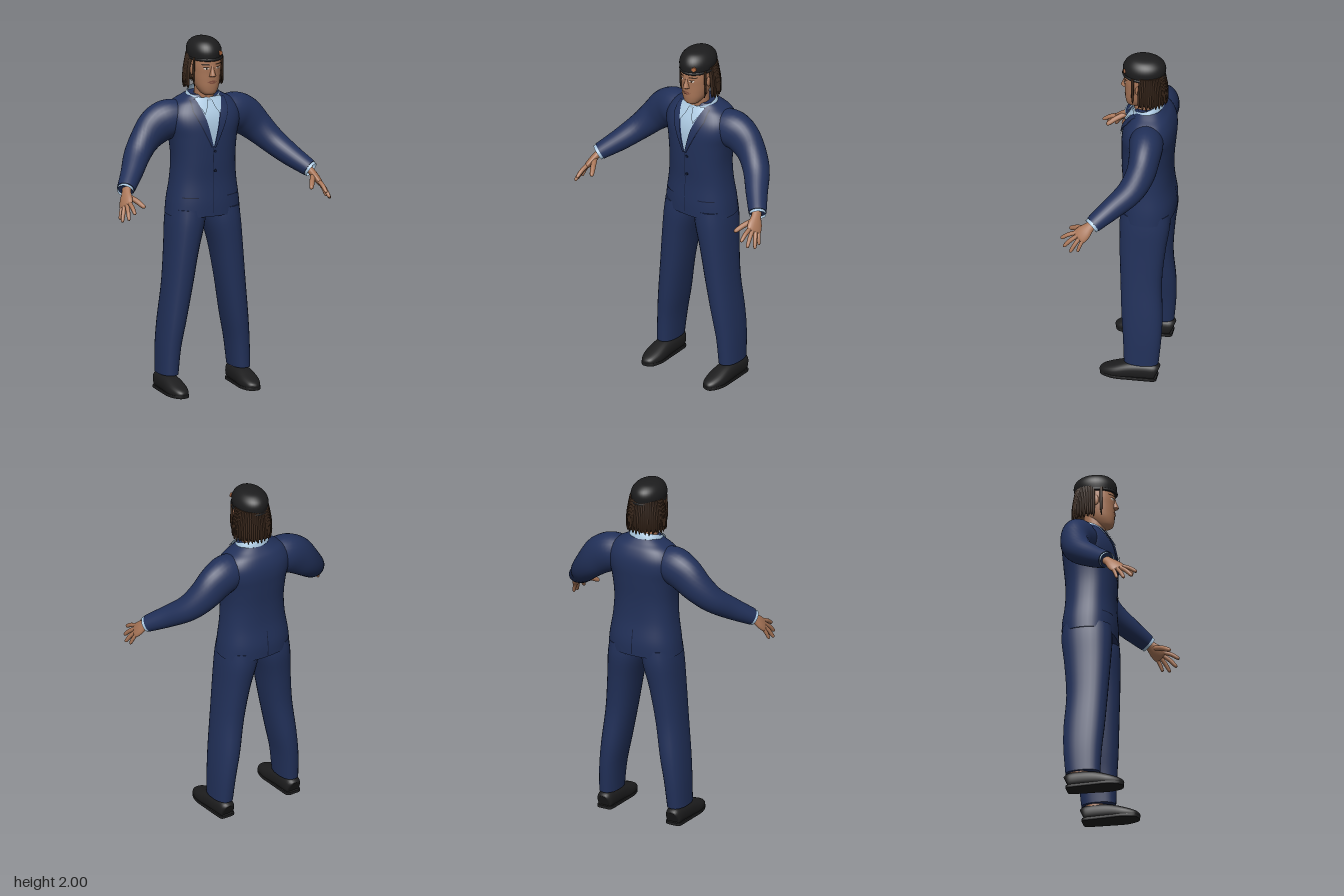
import * as THREE from 'three';

const V = (x, y, z) => new THREE.Vector3(x, y, z);
const mat = (name, color, side = THREE.FrontSide) => new THREE.MeshStandardMaterial({ name, color, side });

// Smoothly densify rows of numbers
function smooth(rows, n = 5) {
  const out = [], L = rows.length - 1;
  for (let i = 0; i < L; i++) for (let k = 0; k < n; k++) {
    const t = k / n, p0 = rows[Math.max(i - 1, 0)], p1 = rows[i], p2 = rows[i + 1], p3 = rows[Math.min(i + 2, L)];
    out.push(p1.map((v, j) => v + 0.5 * t * (p2[j] - p0[j] + t * (2 * p0[j] - 5 * v + 4 * p2[j] - p3[j] + t * (3 * (v - p2[j]) + p3[j] - p0[j])))));
  }
  out.push(rows[L].slice());
  return out;
}

// Skin a tube through rows [x, y, z, a, b]. With flat, rings lie level: a is the z radius, b the x radius.
function loft(rows, { seg = 28, n = 4, power = 2, flat = false, u: ref, caps = true, clamp } = {}) {
  const R = smooth(rows, n), pos = [], idx = [], c = R.map(r => V(r[0], r[1], r[2]));
  const sp = v => Math.sign(v) * Math.abs(v) ** (2 / power);
  R.forEach((r, i) => {
    const T = flat ? V(0, 1, 0) : c[Math.min(i + 1, c.length - 1)].clone().sub(c[Math.max(i - 1, 0)]).normalize();
    let u = ref ? ref.clone() : flat ? V(0, 0, 1) : V(0, 1, 0).cross(T);
    if (!flat) u.addScaledVector(T, -u.dot(T)).normalize();
    const v = flat ? V(1, 0, 0) : T.clone().cross(u);
    for (let j = 0; j < seg; j++) {
      const q = j / seg * Math.PI * 2;
      const p = c[i].clone().addScaledVector(u, r[3] * sp(Math.cos(q))).addScaledVector(v, r[4] * sp(Math.sin(q)));
      if (clamp) p.y = Math.min(Math.max(p.y, clamp[0]), clamp[1]);
      pos.push(p.x, p.y, p.z);
    }
  });
  for (let i = 0; i < R.length - 1; i++) for (let j = 0; j < seg; j++) {
    const a = i * seg + j, b = i * seg + (j + 1) % seg;
    idx.push(a, b, a + seg, b, b + seg, a + seg);
  }
  if (caps) for (const end of [0, R.length - 1]) {
    const s = pos.length / 3, ring = pos.slice(end * seg * 3, (end + 1) * seg * 3), m = [0, 0, 0];
    ring.forEach((v, k) => { m[k % 3] += v / seg; });
    pos.push(...ring, ...m);
    for (let j = 0; j < seg; j++) {
      const a = s + j, b = s + (j + 1) % seg;
      end ? idx.push(a, b, s + seg) : idx.push(b, a, s + seg);
    }
  }
  return finish(pos, idx);
}

function finish(pos, idx) {
  const g = new THREE.BufferGeometry();
  g.setAttribute('position', new THREE.Float32BufferAttribute(pos, 3));
  g.setIndex(idx);
  g.computeVertexNormals();
  return g;
}

// Thin panel hugging a level loft; edges are rows [y, x1, x2] from low to high
function patch(body, power, edges, off, back = false, cols = 8) {
  const P = smooth(body, 5), pos = [], idx = [], k = back ? -1 : 1, steps = 8;
  const depth = (x, y) => {
    let i = 0;
    while (i < P.length - 2 && P[i + 1][1] < y) i++;
    const t = (y - P[i][1]) / (P[i + 1][1] - P[i][1]), m = P[i].map((v, j) => v + (P[i + 1][j] - v) * t);
    return m[2] + k * (m[3] * Math.max(0, 1 - Math.abs(x / m[4]) ** power) ** (1 / power) + off);
  };
  const rows = [];
  for (let e = 0; e < edges.length - 1; e++) for (let s = e ? 1 : 0; s <= steps; s++)
    rows.push(edges[e].map((v, j) => v + (edges[e + 1][j] - v) * s / steps));
  rows.forEach(([y, a, b]) => {
    const lo = Math.min(a, b), hi = Math.max(a, b);
    for (let j = 0; j <= cols; j++) {
      const x = k * (k > 0 ? lo : hi) * k + (hi - lo) * k * j / cols;
      pos.push(x, y, depth(x, y));
    }
  });
  for (let i = 0; i < rows.length - 1; i++) for (let j = 0; j < cols; j++) {
    const a = i * (cols + 1) + j, b = a + cols + 1;
    idx.push(a, a + 1, b, a + 1, b + 1, b);
  }
  return finish(pos, idx);
}

export function createModel() {
  const root = new THREE.Group();
  const navy = mat('navy cloth', 0x22315a), seam = mat('dark navy seam', 0x141d38), shirt = mat('pale blue shirt', 0xa9c6de, THREE.DoubleSide);
  const skin = mat('skin', 0xa97658), hair = mat('brown hair', 0x38261a, THREE.DoubleSide), black = mat('black', 0x1d1d1e);
  const lips = mat('lips', 0x85503f), white = mat('eye white', 0xd8d0c8), copper = mat('copper badge', 0xb0683f);
  const add = (name, geo, m) => { const o = new THREE.Mesh(geo, m); o.name = name; root.add(o); return o; };
  // Level row from y, front z, back z, half width
  const row = (y, f, b, w, x = 0) => [x, y, (f + b) / 2, (f - b) / 2, w];

  // Jacket body
  const torso = [row(1, .035, -.265, .212), row(1.08, .036, -.266, .204), row(1.2, .03, -.25, .187), row(1.32, .034, -.248, .181),
    row(1.44, .035, -.258, .193), row(1.52, .03, -.264, .212), row(1.58, .012, -.258, .208), row(1.63, -.018, -.237, .175),
    row(1.66, -.04, -.21, .125), row(1.68, -.05, -.19, .09)];
  const TP = 2.4, panel = (name, e, off, m, back) => add(name, patch(torso, TP, e, off, back), m);
  add('jacketBody', loft(torso, { flat: true, power: TP, seg: 48, n: 5 }), navy);
  panel('shirtFront', [[1.4, -.002, .002], [1.55, -.038, .038], [1.665, -.075, .075]], .004, shirt);
  panel('jacketOpening', [[1.02, -.004, -.001], [1.4, -.002, .002]], .003, seam);
  panel('backVent', [[1.01, -.003, .003], [1.16, -.002, .002]], .003, seam, true);
  for (const y of [1.26, 1.37]) {
    const b = add('jacketButton', new THREE.CylinderGeometry(.008, .008, .006, 16), seam);
    b.rotation.x = Math.PI / 2;
    b.position.set(.012, y, .036);
  }

  // Neck and shirt collar
  add('neck', loft([row(1.6, -.04, -.15, .058), row(1.68, -.03, -.15, .056), row(1.76, -.03, -.15, .056)], { flat: true }), skin);
  add('shirtCollar', loft([[0, 1.645, -.108, .085, .108], [0, 1.67, -.105, .08, .1], [0, 1.69, -.102, .074, .09]],
    { flat: true, u: V(0, -.35, 1), caps: false }), shirt);

  for (const s of [1, -1]) {
    const m = rows => rows.map(([x, ...r]) => [x * s, ...r]);
    const e = rows => rows.map(([y, a, b]) => [y, a * s, b * s]);
    // Lapels, collar points and pockets
    panel('lapelEdge', e([[1.395, .0, .014], [1.55, .05, .087], [1.6, .06, .108], [1.655, .072, .107]]), .007, seam);
    panel('lapel', e([[1.4, .002, .01], [1.55, .038, .082], [1.6, .054, .103], [1.66, .072, .1]]), .011, navy);
    panel('collarPoint', e([[1.585, .042, .046], [1.62, .022, .062], [1.668, .008, .08]]), .017, shirt);
    panel('pocketSlit', e([[1.108, .085, .168], [1.114, .085, .168]]), .004, seam);

    // Sleeve, cuff and hand
    add('sleeve', loft(m([[.12, 1.55, -.125, .09, .09], [.2, 1.54, -.135, .095, .11], [.27, 1.505, -.14, .086, .108], [.34, 1.44, -.13, .079, .09],
      [.41, 1.365, -.085, .074, .074], [.48, 1.295, 0, .062, .062], [.545, 1.24, .075, .052, .05], [.558, 1.229, .09, .05, .047]])), navy);
    add('cuff', loft(m([[.545, 1.24, .075, .045, .043], [.567, 1.22, .1, .046, .044]]), { caps: false, n: 2 }), shirt);
    const across = V(.43 * s, -.36, -.86);
    add('palm', loft(m([[.545, 1.24, .075, .028, .022], [.563, 1.213, .108, .03, .02], [.578, 1.183, .137, .043, .02],
      [.59, 1.158, .162, .045, .016], [.594, 1.15, .17, .036, .01]]), { u: across, seg: 20 }), skin);
    const fingers = [['thumb', .56, 1.195, .135, .505, 1.15, .232, .015], ['indexFinger', .577, 1.168, .19, .582, 1.128, .268, .012],
      ['middleFinger', .59, 1.156, .178, .61, 1.092, .248, .012], ['ringFinger', .599, 1.148, .16, .632, 1.075, .206, .0115],
      ['littleFinger', .603, 1.145, .138, .628, 1.08, .165, .0105]];
    for (const [name, x, y, z, X, Y, Z, r] of fingers) {
      const at = (t, k, up = 0) => [x + (X - x) * t, y + (Y - y) * t + up, z + (Z - z) * t, r * k, r * k];
      add(name, loft(m([at(-.15, 1), at(.45, 1, .006), at(.85, .85, .001), at(.97, .55), at(1, .15)]), { seg: 12, n: 3 }), skin);
    }

    // Trouser leg, ankle and shoe
    add('trouserLeg', loft([row(.1, -.015, -.21, .054, .218 * s), row(.25, -.008, -.223, .06, .208 * s), row(.4, .004, -.226, .069, .188 * s),
      row(.6, .015, -.216, .077, .16 * s), row(.8, .025, -.232, .087, .134 * s), row(.95, .03, -.252, .101, .11 * s),
      row(1.04, .025, -.25, .1, .1 * s)], { flat: true, power: 2.3 }), navy);
    add('ankle', loft([row(.05, -.07, -.19, .038, .218 * s), row(.13, -.07, -.19, .038, .218 * s)], { flat: true }), skin);
    const shoe = [[.22, .045, -.203, .03, .035], [.22, .048, -.19, .045, .05], [.22, .05, -.13, .05, .054], [.22, .045, -.05, .054, .052],
      [.219, .03, .03, .057, .042], [.217, .02, .085, .044, .032], [.216, .016, .11, .028, .022], [.215, .014, .118, .01, .01]];
    add('shoe', loft(m(shoe), { clamp: [.004, 1], power: 2.4 }), black);
    add('sole', loft(m(shoe.map(([x, , z, a]) => [x, .01, z, a * 1.03, .02])), { clamp: [0, .016], power: 4 }), black);
  }

  // Head and face
  const head = [row(1.682, -.01, -.06, .022), row(1.695, .012, -.085, .042), row(1.73, .02, -.125, .063), row(1.77, .022, -.155, .074),
    row(1.81, .023, -.175, .08), row(1.86, .024, -.19, .084), row(1.94, .012, -.185, .08)];
  add('head', loft(head, { flat: true, power: 2.2 }), skin);
  add('nose', loft([row(1.792, .022, 0, .012), row(1.798, .042, 0, .02), row(1.806, .045, 0, .017), row(1.835, .033, 0, .011),
    row(1.86, .024, 0, .009)], { flat: true, seg: 16 }), skin);
  const face = (name, e, off, m) => add(name, patch(head, 2.2, e, off), m);
  face('upperLip', [[1.765, -.03, .03], [1.773, -.012, .012]], .004, lips);
  face('lowerLip', [[1.755, -.012, .012], [1.764, -.027, .027]], .005, lips);
  for (const s of [1, -1]) {
    face('eyeWhite', [[1.837, .03 * s, .038 * s], [1.843, .02 * s, .05 * s], [1.849, .028 * s, .044 * s]], .002, white);
    face('iris', [[1.837, .031 * s, .038 * s], [1.849, .03 * s, .039 * s]], .004, hair);
    face('eyelid', [[1.848, .018 * s, .052 * s], [1.852, .024 * s, .048 * s]], .003, hair);
    face('eyebrow', [[1.862, .016 * s, .056 * s], [1.869, .02 * s, .062 * s]], .003, hair);
    const ear = add('ear', new THREE.SphereGeometry(1, 16, 12), skin);
    ear.scale.set(.009, .03, .018);
    ear.position.set(.085 * s, 1.825, -.068);
  }

  // Hair: inner shell plus hanging locks round the sides and back
  const shell = new THREE.CylinderGeometry(.092, .098, .16, 40, 1, true, Math.PI * .42, Math.PI * 1.16);
  const inner = add('hairShell', shell, hair);
  inner.position.set(0, 1.82, -.105);
  const N = 38;
  for (let i = 0; i < N; i++) {
    const q = Math.PI * (.41 + 1.18 * i / (N - 1)), x = Math.sin(q), z = Math.cos(q), low = 1.724 + .012 * Math.sin(i * 2.7);
    const at = (y, r, w) => [x * r, y, -.105 + z * r, w, w];
    add('hairLock', loft([at(low, .108, .002), at(low + .025, .108, .0075), at(1.82, .103, .009), at(1.91, .088, .008)],
      { flat: true, seg: 7, n: 2 }), hair);
  }
  for (const s of [1, -1]) add('frontLock', loft([[.082 * s, 1.735, -.035, .002, .002], [.088 * s, 1.78, -.036, .007, .005],
    [.085 * s, 1.9, -.036, .009, .006]], { flat: true, seg: 8 }), hair);

  // Cap with rolled rim and a plain badge
  add('cap', loft([row(1.89, .033, -.2, .09, -.003), row(1.93, .035, -.207, .094, -.003), row(1.962, .022, -.197, .084, -.004),
    row(1.985, -.002, -.17, .063, -.005), row(1.996, -.03, -.14, .037, -.005), row(2, -.065, -.1, .01, -.005)], { flat: true, seg: 40 }), black);
  add('capRim', loft([row(1.884, .034, -.2, .091), row(1.888, .038, -.205, .095), row(1.896, .038, -.205, .095), row(1.9, .034, -.2, .091)],
    { flat: true, seg: 40 }), black);
  const badge = add('badge', new THREE.CylinderGeometry(.014, .014, .008, 6), copper);
  badge.rotation.set(Math.PI / 2, 0, -.4);
  badge.position.set(.05, 1.924, .018);
  return root;
}
